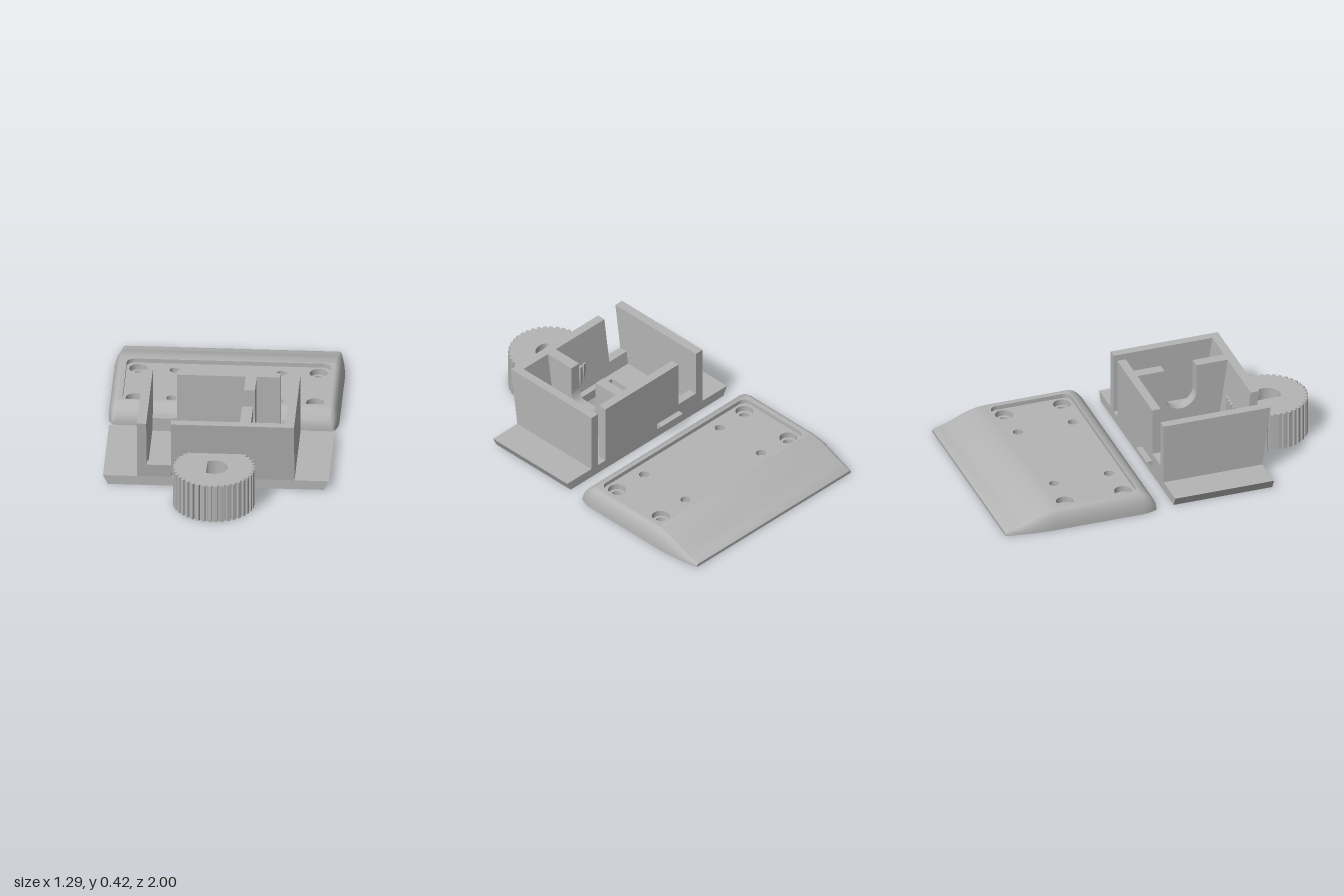
import * as THREE from 'three';
import { toCreasedNormals } from 'three/addons/utils/BufferGeometryUtils.js';

const grey = new THREE.MeshStandardMaterial({ color: 0xb4b4b4 });
grey.name = 'plain grey';

function add(group, name, geometry) {
  const mesh = new THREE.Mesh(geometry, grey);
  mesh.name = name;
  group.add(mesh);
  return mesh;
}

const polygon = (pts) => new THREE.Shape(pts.map(([a, b]) => new THREE.Vector2(a, b)));

// Plan shapes use (x, -z)
const rect = (x0, x1, z0, z1) => polygon([[x0, -z1], [x1, -z1], [x1, -z0], [x0, -z0]]);
const circle = (x, z, r) => new THREE.Path().absarc(x, -z, r, 0, Math.PI * 2, true);

function roundedRect(x0, x1, z0, z1, r) {
  const p = new THREE.Path();
  p.absarc(x1 - r, -z0 - r, r, 0, Math.PI / 2);
  p.absarc(x0 + r, -z0 - r, r, Math.PI / 2, Math.PI);
  p.absarc(x0 + r, -z1 + r, r, Math.PI, Math.PI * 1.5);
  p.absarc(x1 - r, -z1 + r, r, Math.PI * 1.5, Math.PI * 2);
  p.closePath();
  return p;
}

// Horizontal slab from y0 to y1
function slab(shape, y0, y1, holes = []) {
  shape.holes.push(...holes);
  const g = new THREE.ExtrudeGeometry(shape, { depth: y1 - y0, bevelEnabled: false, curveSegments: 20 });
  return g.rotateX(-Math.PI / 2).translate(0, y0, 0);
}

// Side profile in (-z, y), extruded from x0 to x1
function across(shape, x0, x1) {
  const g = new THREE.ExtrudeGeometry(shape, { depth: x1 - x0, bevelEnabled: false, curveSegments: 24 });
  return g.rotateY(Math.PI / 2).translate(x0, 0, 0);
}

function box(x0, x1, y0, y1, z0, z1) {
  return new THREE.BoxGeometry(x1 - x0, y1 - y0, z1 - z0)
    .translate((x0 + x1) / 2, (y0 + y1) / 2, (z0 + z1) / 2);
}

// Cover plate: rounded skin around a layered core with holes and pockets
function createCover() {
  const cover = new THREE.Group();
  cover.name = 'coverPlate';
  const zFront = -0.195, zBack = -0.69, inner = 0.595, top = 0.115;
  // z, half width, height
  const stations = [
    [-0.108, 0.62, 0], [-0.108, 0.62, 0.035], [-0.12, 0.627, 0.06], [-0.14, 0.635, 0.085],
    [-0.165, 0.642, 0.106], [zFront, 0.645, top], [zBack, 0.645, top], [-0.73, 0.645, 0.112],
    [-0.78, 0.643, 0.1], [-0.83, 0.638, 0.081], [-0.88, 0.632, 0.059], [-0.92, 0.626, 0.043],
    [-0.96, 0.619, 0.032], [-0.985, 0.615, 0.027], [-1, 0.61, 0.018], [-1, 0.61, 0],
  ];
  const steps = 8;
  const rows = stations.map(([z, w, h]) => {
    const right = [];
    for (let k = 0; k <= steps; k++) {
      const t = (k / steps) * Math.PI / 2;
      right.push([inner + (w - inner) * Math.cos(t), h * Math.sin(t), z]);
    }
    return [...right.map(([x, y]) => [-x, y, z]), ...right.reverse()];
  });
  const pos = [];
  for (let i = 0; i < rows.length - 1; i++) {
    for (let j = 0; j < rows[0].length - 1; j++) {
      if (j === steps && stations[i][0] === zFront) continue; // core shows here
      const a = rows[i][j], b = rows[i][j + 1], c = rows[i + 1][j + 1], d = rows[i + 1][j];
      pos.push(...a, ...b, ...c, ...a, ...c, ...d);
    }
  }
  const skin = new THREE.BufferGeometry();
  skin.setAttribute('position', new THREE.Float32BufferAttribute(pos, 3));
  add(cover, 'roundedSkin', toCreasedNormals(skin, 0.6));

  const core = () => rect(-inner, inner, zBack, zFront);
  const outline = polygon([
    ...stations.slice(1, -1).map(([z, w]) => [w, -z]),
    ...stations.slice(1, -1).reverse().map(([z, w]) => [-w, -z]),
  ]);
  outline.holes.push(core());
  add(cover, 'underside', new THREE.ShapeGeometry(outline).rotateX(Math.PI / 2).scale(1, 1, -1)
    .rotateZ(0)).geometry = slab(outline, 0, 0.001);

  const screws = (r) => [-0.505, 0.505].flatMap((x) => [circle(x, -0.61, r), circle(x, -0.265, r)]);
  const pins = [-0.3, 0.3].flatMap((x) => [circle(x, -0.6, 0.028), circle(x, -0.275, 0.028)]);
  add(cover, 'pocketLayer', slab(core(), 0, 0.03, [
    circle(-0.505, -0.61, 0.032), circle(0.505, -0.61, 0.032),
    rect(-0.56, -0.45, -0.37, -0.2), rect(0.45, 0.56, -0.37, -0.2),
    rect(-0.2, 0.02, -0.56, -0.32),
  ]));
  add(cover, 'screwLayer', slab(core(), 0.03, 0.055, screws(0.032)));
  add(cover, 'counterboreLayer', slab(core(), 0.055, 0.09, [...screws(0.05), ...pins]));
  add(cover, 'recessRim', slab(core(), 0.09, top, [roundedRect(-0.57, 0.57, -0.677, -0.2, 0.045)]));
  return cover;
}

// Open tray with leaning front, side flanges, divider and clip
function createTray() {
  const tray = new THREE.Group();
  tray.name = 'tray';
  const floorY = 0.055, topY = 0.415, depth = 0.585;
  const lean = (y) => depth + 0.05 * Math.max(0, (y - floorY) / (topY - floorY));

  add(tray, 'floor', slab(rect(-0.44, 0.44, 0, depth), 0, floorY, [rect(-0.225, 0.02, 0.11, 0.5)]));
  for (const s of [-1, 1]) {
    const profile = polygon([[0.44 * s, 0], [0.605 * s, 0], [0.632 * s, floorY], [0.44 * s, floorY]]);
    add(tray, s > 0 ? 'leftFlange' : 'rightFlange',
      new THREE.ExtrudeGeometry(profile, { depth, bevelEnabled: false }));
    const side = polygon([[0, floorY], [-depth, floorY], [-lean(topY), topY], [0, topY]]);
    add(tray, s > 0 ? 'leftWall' : 'rightWall', across(side, s > 0 ? 0.39 : -0.44, s > 0 ? 0.44 : -0.387));
  }

  // Front wall pieces leave a tall gap and a clip slot
  const front = (name, x0, x1, y0, y1, outer = 0) => add(tray, name, across(polygon([
    [0.05 - lean(y0), y0], [outer - lean(y0), y0], [outer - lean(y1), y1], [0.05 - lean(y1), y1],
  ]), x0, x1));
  front('frontWall', -0.25, 0.39, 0.087, topY);
  front('frontWallFoot', -0.08, 0.39, floorY, 0.087);
  front('clipSlotBack', -0.25, -0.08, floorY, 0.087, 0.02);
  front('frontSill', -0.387, -0.25, floorY, 0.135);

  // Back wall with a gap and a narrow slot
  add(tray, 'backWall', box(-0.25, 0.33, floorY, topY, 0, 0.05));
  add(tray, 'backSill', box(-0.387, -0.25, floorY, 0.135, 0, 0.05));
  add(tray, 'clip', across(polygon([[0, 0.052], [0.035, 0.088], [0, 0.088]]), -0.25, -0.08));

  // Divider with a round-bottomed notch
  const d = new THREE.Shape();
  d.moveTo(-0.05, floorY);
  d.lineTo(-0.05, topY);
  d.lineTo(-0.21, topY);
  d.lineTo(-0.21, 0.25);
  d.absarc(-0.305, 0.25, 0.095, 0, -Math.PI, true);
  d.lineTo(-0.4, topY);
  d.lineTo(0.05 - lean(topY), topY);
  d.lineTo(0.05 - lean(floorY), floorY);
  add(tray, 'divider', across(d, 0.135, 0.197));
  return tray;
}

// Ridged wheel with a D-shaped bore
function createWheel() {
  const teeth = 40, pts = [];
  for (let i = 0; i < teeth; i++) {
    for (const [f, r] of [[0, 0.217], [0.35, 0.217], [0.42, 0.23], [0.93, 0.23]]) {
      const a = ((i + f) / teeth) * Math.PI * 2;
      pts.push([r * Math.cos(a), r * Math.sin(a)]);
    }
  }
  const cut = Math.acos(-0.04 / 0.077);
  const bore = new THREE.Path();
  bore.absarc(0, 0, 0.077, -cut, cut);
  bore.closePath();
  const wheel = new THREE.Group();
  wheel.name = 'wheel';
  add(wheel, 'ridgedWheel', slab(polygon(pts), 0, 0.225, [bore]));
  wheel.position.z = 0.77;
  return wheel;
}

export function createModel() {
  const model = new THREE.Group();
  model.name = 'enclosureKit';
  model.add(createCover(), createTray(), createWheel());
  return model;
}
